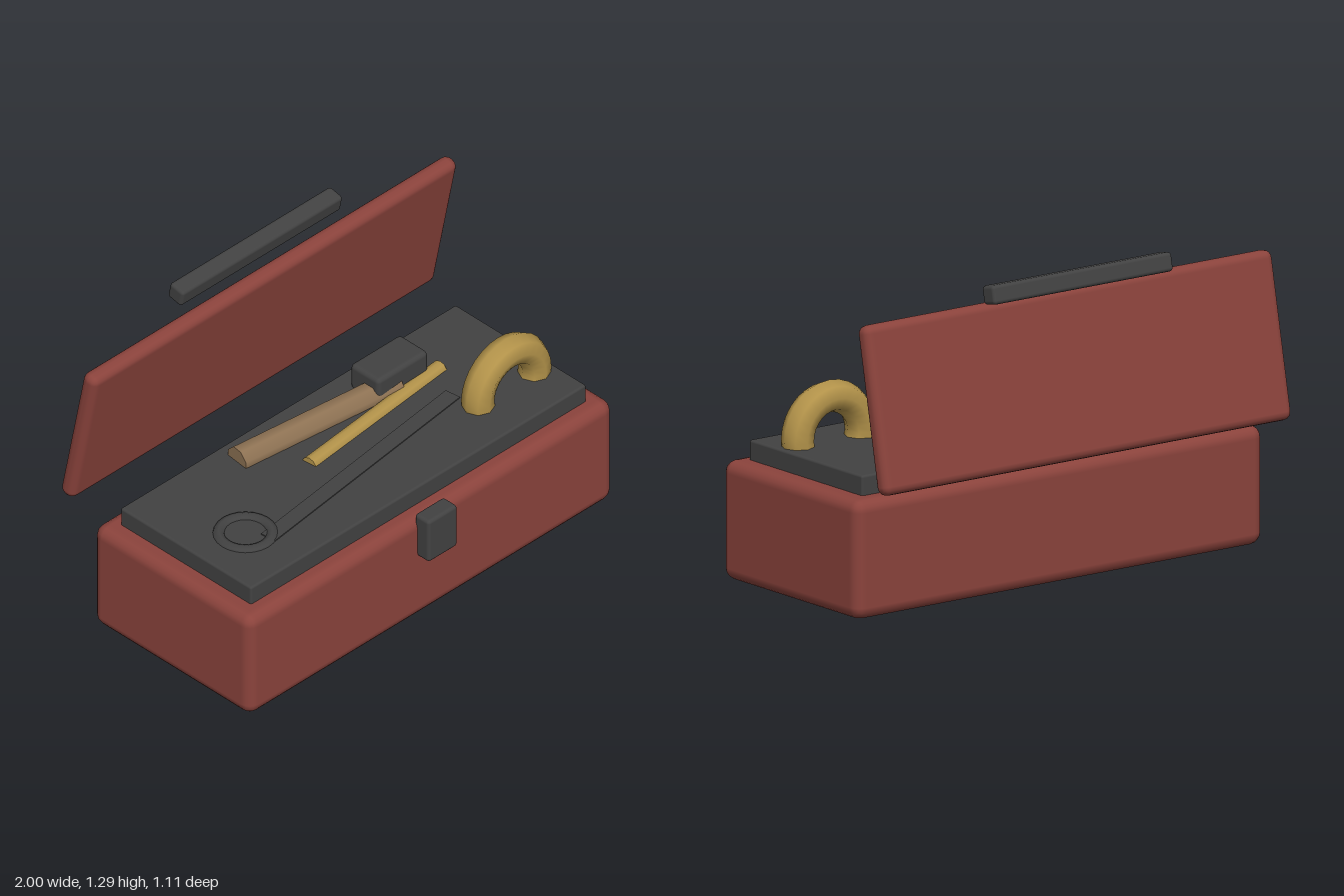
import * as THREE from 'three';
import { RoundedBoxGeometry } from 'three/addons/geometries/RoundedBoxGeometry.js';

const paint = (name, color) => {
  const m = new THREE.MeshStandardMaterial({ color });
  m.name = name;
  return m;
};

export function createModel() {
  const red = paint('red enamel', 0x8b433c);
  const dark = paint('dark steel', 0x424242);
  const brass = paint('brass', 0xb3934a);
  const wood = paint('wood', 0x8f7354);

  const model = new THREE.Group();
  model.name = 'toolbox';

  const add = (name, geometry, material, x, y, z) => {
    const mesh = new THREE.Mesh(geometry, material);
    mesh.name = name;
    mesh.position.set(x, y, z);
    model.add(mesh);
    return mesh;
  };
  const box = (w, h, d, r) => new RoundedBoxGeometry(w, h, d, 2, r);
  // Rod lying along x, with a facet on top
  const rod = (radius, length, sides) =>
    new THREE.CylinderGeometry(radius, radius, length, sides)
      .rotateY(Math.PI / sides)
      .rotateZ(Math.PI / 2);

  // Case
  add('body', box(2, 0.48, 0.87, 0.05), red, 0, 0.24, 0.06);
  add('tray', box(1.836, 0.14, 0.72, 0.01), dark, 0, 0.49, 0.06);
  add('latch', box(0.16, 0.2, 0.08, 0.015), dark, 0, 0.4, 0.516);

  // Open lid leaning back, with its carrying handle
  const tilt = 0.2;
  add('lid', box(2, 0.67, 0.075, 0.034), red, 0, 0.863, -0.46).rotation.x = tilt;
  add('carryHandle', box(0.88, 0.076, 0.076, 0.015), dark, 0, 1.245, -0.48).rotation.x = tilt;

  // Hammer
  add('hammerHandle', rod(0.06, 0.785, 8), wood, 0, 0.565, -0.145).rotation.y = -0.11;
  add('hammerHead', box(0.276, 0.12, 0.16, 0.02), dark, 0.397, 0.61, -0.142);

  // Brass rod
  add('brassRod', rod(0.036, 0.8, 10), brass, 0.2, 0.549, -0.024).rotation.y = 0.1;

  // Wrench half sunk in the tray: ring and shaft
  add('wrenchRing', new THREE.TorusGeometry(0.105, 0.027, 8, 24).rotateX(Math.PI / 2), dark, -0.685, 0.549, 0.155);
  add('wrenchShaft', new THREE.BoxGeometry(1.16, 0.03, 0.07), dark, -0.07, 0.55, 0.17).rotation.y = 0.122;

  // Brass ring standing in the tray
  add('brassRing', new THREE.TorusGeometry(0.156, 0.065, 8, 28), brass, 0.68, 0.583, 0.218);

  return model;
}
